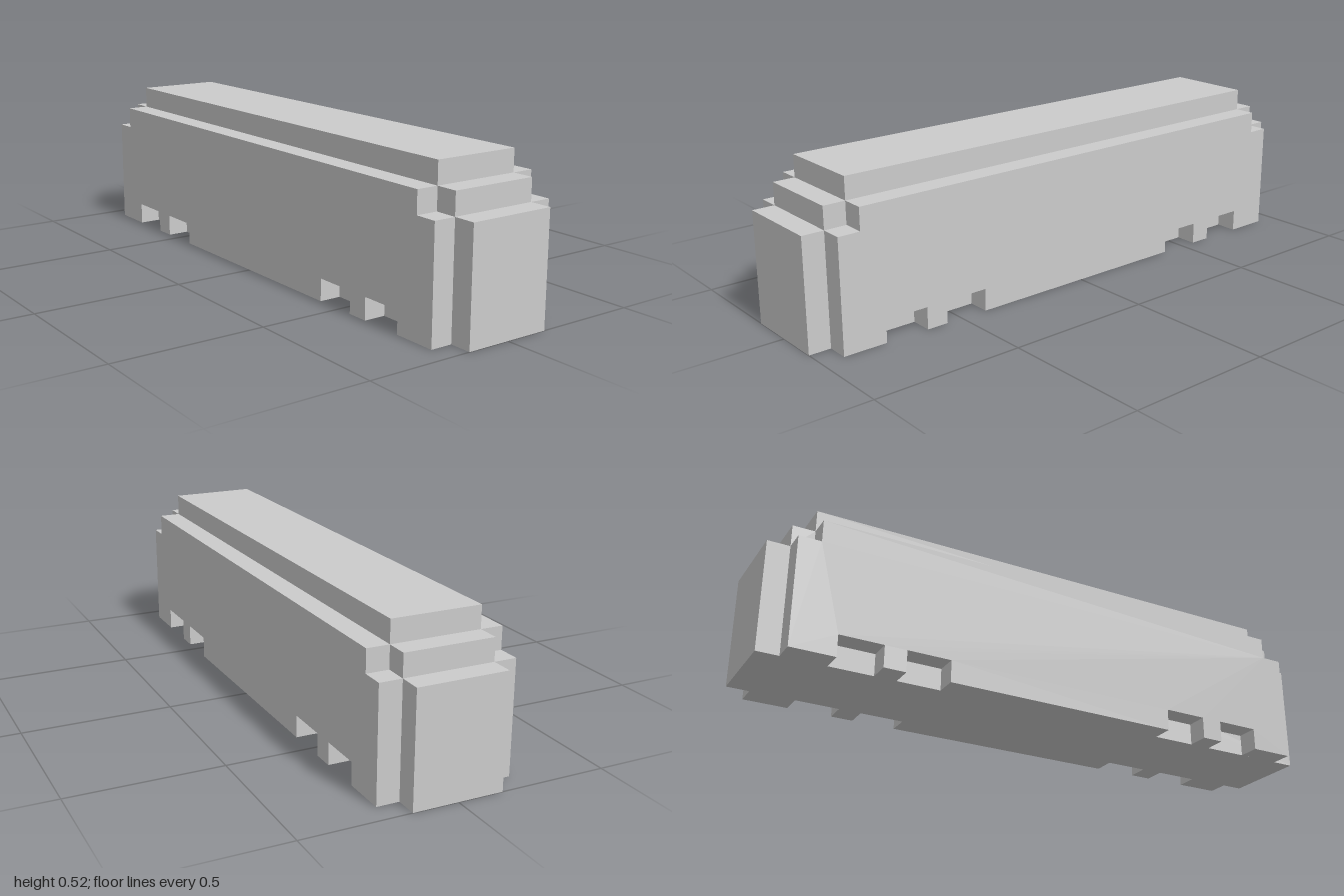
import * as THREE from 'three';

const U = 2 / 27; // one block unit

// Mirror a right-half outline (in units, bottom to top) and extrude it along z
function slab(name, half, z0, z1, material) {
  const mirrored = half.map(([x, y]) => [-x, y]).reverse();
  const points = [...half, ...mirrored].map(([x, y]) => new THREE.Vector2(x * U, y * U));
  const geometry = new THREE.ExtrudeGeometry(new THREE.Shape(points), {
    depth: (z1 - z0) * U,
    bevelEnabled: false,
  });
  geometry.translate(0, 0, z0 * U);
  const mesh = new THREE.Mesh(geometry, material);
  mesh.name = name;
  return mesh;
}

export function createModel() {
  const model = new THREE.Group();
  model.name = 'carriage';
  const grey = new THREE.MeshStandardMaterial({ color: 0xcccccc, flatShading: true });

  // Central body with stepped ends and raised roof
  const body = [[13.5, 0], [13.5, 5], [12.5, 5], [12.5, 6], [11.5, 6], [11.5, 7]];
  model.add(slab('body', body, -2, 2, grey));

  // Side panels with wheel cut-outs along the lower edge
  const panel = [];
  for (const [a, b] of [[5.5, 7.5], [8.5, 10.5]]) panel.push([a, 0], [a, 1], [b, 1], [b, 0]);
  panel.push([12.5, 0], [12.5, 5], [11.5, 5], [11.5, 6]);
  model.add(slab('frontSidePanel', panel, 2, 3, grey));
  model.add(slab('backSidePanel', panel, -3, -2, grey));

  return model;
}
